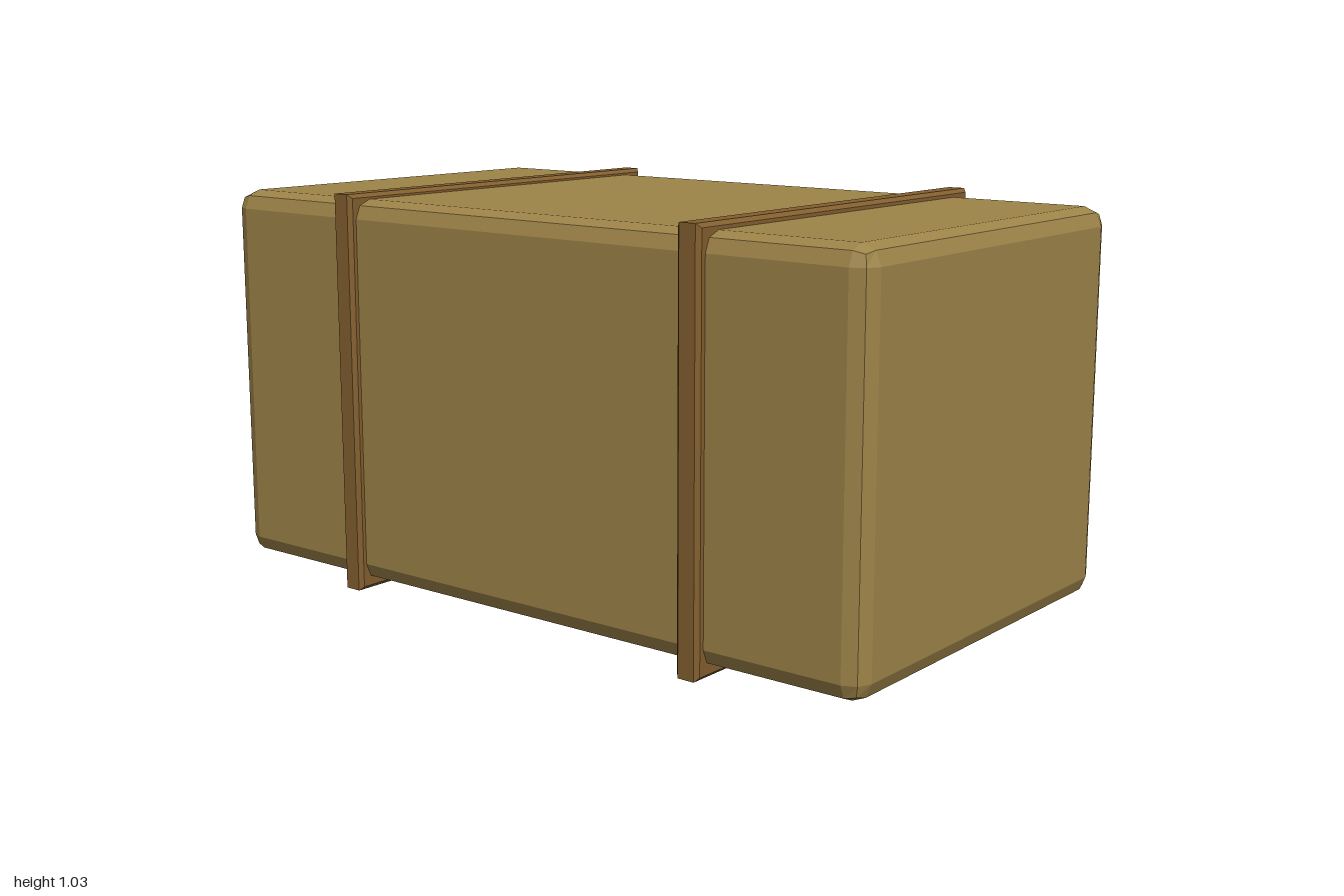
import * as THREE from 'three';
import { RoundedBoxGeometry } from 'three/addons/geometries/RoundedBoxGeometry.js';

const baleMaterial = new THREE.MeshStandardMaterial({ color: 0x9e8449, flatShading: true });
const strapMaterial = new THREE.MeshStandardMaterial({ color: 0x84602f, flatShading: true });

// Bundled block with two-facet rounded edges, drawn in slightly toward its +x end
function makeBale() {
  const geometry = new RoundedBoxGeometry(2, 1, 1.11, 1, 0.048);
  const p = geometry.attributes.position;
  for (let i = 0; i < p.count; i++) {
    const t = (p.getX(i) + 1) / 2;
    p.setY(i, p.getY(i) * (1 - 0.012 * t));
    p.setZ(i, p.getZ(i) * (1 - 0.008 * t));
  }
  geometry.computeVertexNormals();
  const bale = new THREE.Mesh(geometry, baleMaterial);
  bale.name = 'bale';
  bale.position.y = 0.52;
  return bale;
}

function rectangle(path, halfWidth, halfHeight) {
  path.moveTo(-halfWidth, -halfHeight);
  path.lineTo(halfWidth, -halfHeight);
  path.lineTo(halfWidth, halfHeight);
  path.lineTo(-halfWidth, halfHeight);
  path.closePath();
  return path;
}

// Bevelled rectangular band wrapped around the bale; its inner edge sinks into it
function makeStrapGeometry() {
  const shape = rectangle(new THREE.Shape(), 0.574, 0.517);
  shape.holes.push(rectangle(new THREE.Path(), 0.52, 0.465));
  const geometry = new THREE.ExtrudeGeometry(shape, {
    depth: 0.045, bevelEnabled: true, bevelThickness: 0.01,
    bevelSize: 0.01, bevelOffset: -0.01, bevelSegments: 1,
  });
  geometry.center();
  geometry.rotateY(Math.PI / 2);
  return geometry;
}

export function createModel() {
  const model = new THREE.Group();
  model.name = 'strappedBale';
  model.add(makeBale());

  // One strap near each end
  const strapGeometry = makeStrapGeometry();
  for (const [name, x] of [['leftStrap', 0.553], ['rightStrap', -0.553]]) {
    const strap = new THREE.Mesh(strapGeometry, strapMaterial);
    strap.name = name;
    strap.position.set(x, 0.517, 0);
    model.add(strap);
  }
  return model;
}
